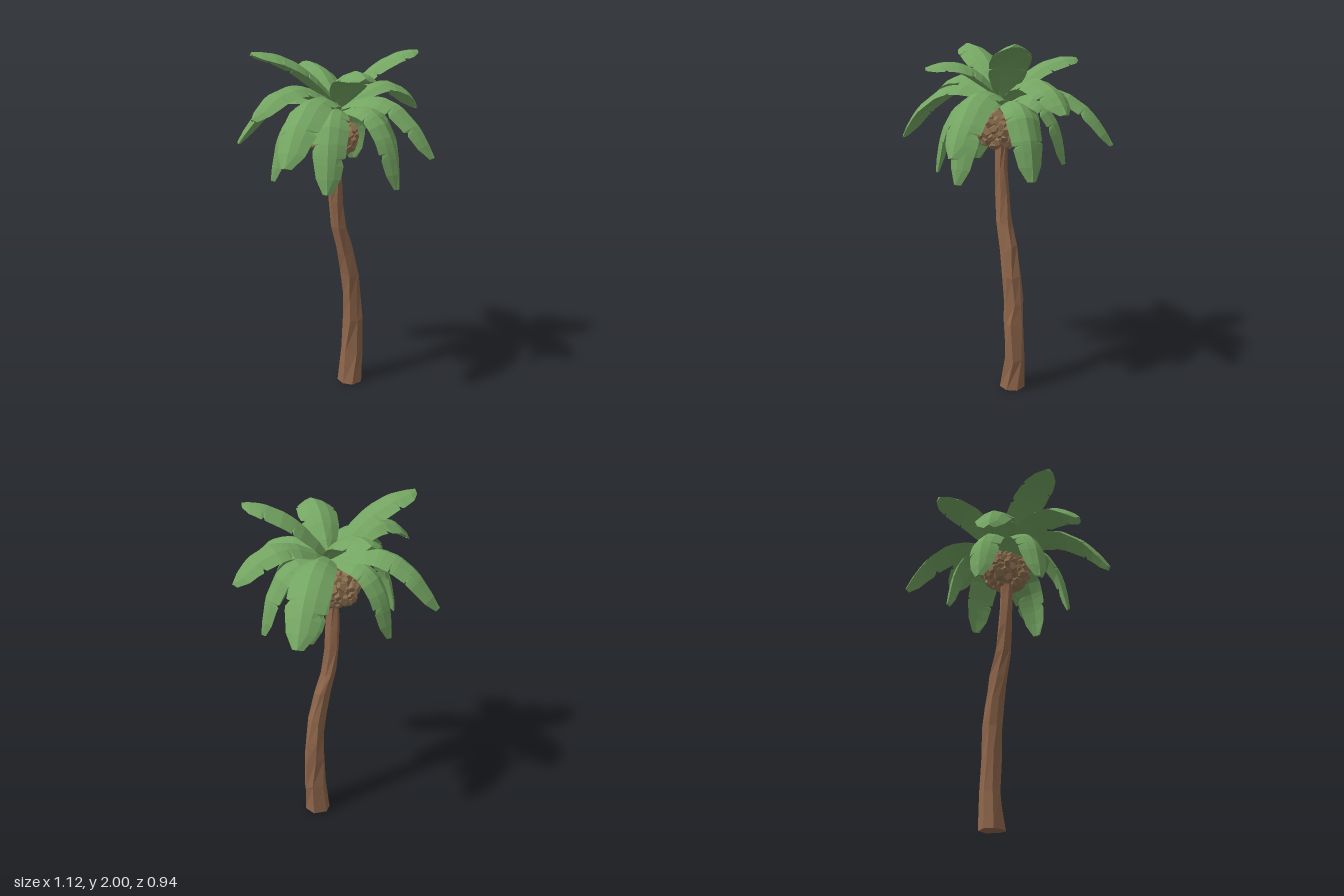
import * as THREE from 'three';
import { mergeGeometries } from 'three/addons/utils/BufferGeometryUtils.js';

// Small seeded random for organic variation
function makeRandom(seed) {
  let s = seed;
  return () => ((s = (s * 16807) % 2147483647) / 2147483647);
}

// Closed faceted skin through a list of equal-length rings of points
function loft(rings) {
  const out = [];
  const tri = (...pts) => pts.forEach((p) => out.push(p.x, p.y, p.z));
  const n = rings[0].length;
  for (let i = 0; i < rings.length - 1; i++) {
    for (let j = 0; j < n; j++) {
      const k = (j + 1) % n;
      const a = rings[i][j], b = rings[i][k], c = rings[i + 1][k], d = rings[i + 1][j];
      tri(a, b, c);
      tri(a, c, d);
    }
  }
  const first = rings[0], last = rings[rings.length - 1];
  for (let j = 1; j < n - 1; j++) {
    tri(first[0], first[j + 1], first[j]);
    tri(last[0], last[j], last[j + 1]);
  }
  const g = new THREE.BufferGeometry();
  g.setAttribute('position', new THREE.Float32BufferAttribute(out, 3));
  g.computeVertexNormals();
  return g;
}

// Curved, tapering trunk with irregular facets
function trunkGeometry() {
  const rand = makeRandom(11);
  // height, centre x, centre z, radius
  const stations = [
    [0, 0.097, -0.018, 0.077], [0.2, 0.108, -0.016, 0.066], [0.4, 0.113, -0.014, 0.058],
    [0.55, 0.107, -0.013, 0.055], [0.7, 0.087, -0.012, 0.055], [0.85, 0.052, -0.01, 0.05],
    [1.0, 0.012, -0.008, 0.047], [1.15, -0.01, -0.005, 0.043], [1.3, -0.018, -0.002, 0.039],
    [1.45, -0.016, 0, 0.037], [1.6, -0.006, 0, 0.035], [1.67, 0.003, -0.005, 0.034],
  ];
  const sides = 7;
  return loft(stations.map(([y, x, z, r], i) =>
    Array.from({ length: sides }, (_, j) => {
      const a = (j / sides) * Math.PI * 2 + i * 0.12 + (rand() - 0.5) * 0.45;
      const rr = r * (0.93 + rand() * 0.16);
      const lift = i === 0 ? 0 : (rand() - 0.5) * 0.05;
      return new THREE.Vector3(x + Math.cos(a) * rr, y + lift, z - Math.sin(a) * rr);
    })));
}

// Half-width of a frond along its length
const outline = [[0, 0.2], [0.13, 0.62], [0.3, 0.9], [0.55, 1], [0.78, 0.92], [0.92, 0.68], [1, 0.26]];
function widthAt(t) {
  for (let i = 1; i < outline.length; i++) {
    const [t0, w0] = outline[i - 1], [t1, w1] = outline[i];
    if (t <= t1) return w0 + ((w1 - w0) * (t - t0)) / (t1 - t0);
  }
  return outline[outline.length - 1][1];
}

// Arched, folded frond with torn notches along both edges
function frondGeometry(root, control, tip, halfWidth, seed) {
  const rand = makeRandom(seed * 97 + 5);
  const curve = new THREE.QuadraticBezierCurve3(root, control, tip);
  const side = new THREE.Vector3().subVectors(tip, root).setY(0).normalize()
    .cross(new THREE.Vector3(0, 1, 0));
  const notch = () => [0.4 + rand() * 0.2, 0.68 + rand() * 0.16];
  const notches = [notch(), notch()];
  const base = outline.map(([t]) => t);
  const cuts = notches.flat();
  const ts = [...base, ...cuts.flatMap((c) => [c - 0.012, c, c + 0.04])].sort((a, b) => a - b);
  const rings = ts.map((t) => {
    const p = curve.getPoint(t);
    const up = new THREE.Vector3().crossVectors(side, curve.getTangent(t)).normalize();
    const at = (s, h) => p.clone().addScaledVector(side, s).addScaledVector(up, h);
    const full = widthAt(t) * halfWidth;
    const [l, r] = notches.map((list) => full * (list.includes(t) ? 0.8 : 1));
    const thick = 0.008 + 0.014 * (1 - t);
    return [
      at(-l, -l * 0.42), at(-full * 0.5, -full * 0.1), at(0, 0.006),
      at(full * 0.5, -full * 0.1), at(r, -r * 0.42),
      at(full * 0.45, -full * 0.12 - thick), at(0, -thick), at(-full * 0.45, -full * 0.12 - thick),
    ];
  });
  return loft(rings);
}

// Broad cluster of small chunky fruit around the top of the trunk
function fruitGeometry() {
  const rand = makeRandom(23);
  const parts = [new THREE.IcosahedronGeometry(1, 1).scale(0.11, 0.085, 0.12)];
  const count = 85;
  for (let i = 0; i < count; i++) {
    const y = 1 - (2 * (i + 0.5)) / count;
    const r = Math.sqrt(1 - Math.abs(y) ** 3), a = i * 2.39996;
    const size = 0.025 + rand() * 0.012;
    const g = new THREE.DodecahedronGeometry(size, 0);
    g.scale(0.8 + rand() * 0.5, 0.8 + rand() * 0.4, 0.8 + rand() * 0.5);
    g.rotateX(rand() * 3).rotateY(rand() * 3);
    g.translate(Math.cos(a) * r * 0.112, y * 0.082, Math.sin(a) * r * 0.126);
    parts.push(g);
  }
  return mergeGeometries(parts).translate(-0.022, 1.53, -0.012);
}

export function createModel() {
  const bark = new THREE.MeshStandardMaterial({ color: 0x8f664b });
  const leaf = new THREE.MeshStandardMaterial({ color: 0x74a562 });
  const fruit = new THREE.MeshStandardMaterial({ color: 0x8f7151 });
  for (const m of [bark, leaf, fruit]) m.flatShading = true;

  const model = new THREE.Group();
  model.name = 'palmTree';
  const add = (name, geometry, material, parent = model) => {
    const mesh = new THREE.Mesh(geometry, material);
    mesh.name = name;
    parent.add(mesh);
  };

  add('trunk', trunkGeometry(), bark);
  add('fruitCluster', fruitGeometry(), fruit);

  // Frond tiers; each frond is tip x, tip z, tip y, control height
  const tiers = [
    { name: 'upperFrond', rootY: 1.7, reach: 0.46, halfWidth: 0.108, fronds: [
      [0.41, 0.16, 1.99, 2.0], [-0.49, -0.03, 1.985, 2.0],
      [0.025, -0.47, 1.91, 1.95], [-0.085, 0.42, 1.865, 1.97],
    ] },
    { name: 'middleFrond', rootY: 1.68, reach: 0.62, halfWidth: 0.11, fronds: [
      [0.555, -0.04, 1.66, 1.96], [-0.56, 0.12, 1.665, 1.96],
      [0.315, 0.465, 1.45, 1.9], [0.405, -0.455, 1.46, 1.9],
      [-0.51, 0.385, 1.46, 1.92], [-0.43, -0.41, 1.47, 1.9],
    ] },
    { name: 'lowerFrond', rootY: 1.66, reach: 0.9, halfWidth: 0.096, fronds: [
      [0.16, 0.37, 1.28, 1.81], [-0.235, 0.3, 1.28, 1.81], [0.385, 0.04, 1.3, 1.81],
      [-0.39, -0.04, 1.31, 1.81], [-0.2, -0.32, 1.31, 1.81], [0.25, -0.25, 1.35, 1.81],
    ] },
  ];
  const crown = new THREE.Group();
  crown.name = 'crown';
  model.add(crown);
  let seed = 1;
  for (const { name, rootY, reach, halfWidth, fronds } of tiers) {
    fronds.forEach(([x, z, y, controlY], i) => {
      const root = new THREE.Vector3(0.005 + x * 0.01, rootY, z * 0.01);
      const control = new THREE.Vector3(x * reach, controlY, z * reach);
      const tip = new THREE.Vector3(x, y, z);
      add(name + (i + 1), frondGeometry(root, control, tip, halfWidth, seed++), leaf, crown);
    });
  }
  return model;
}
